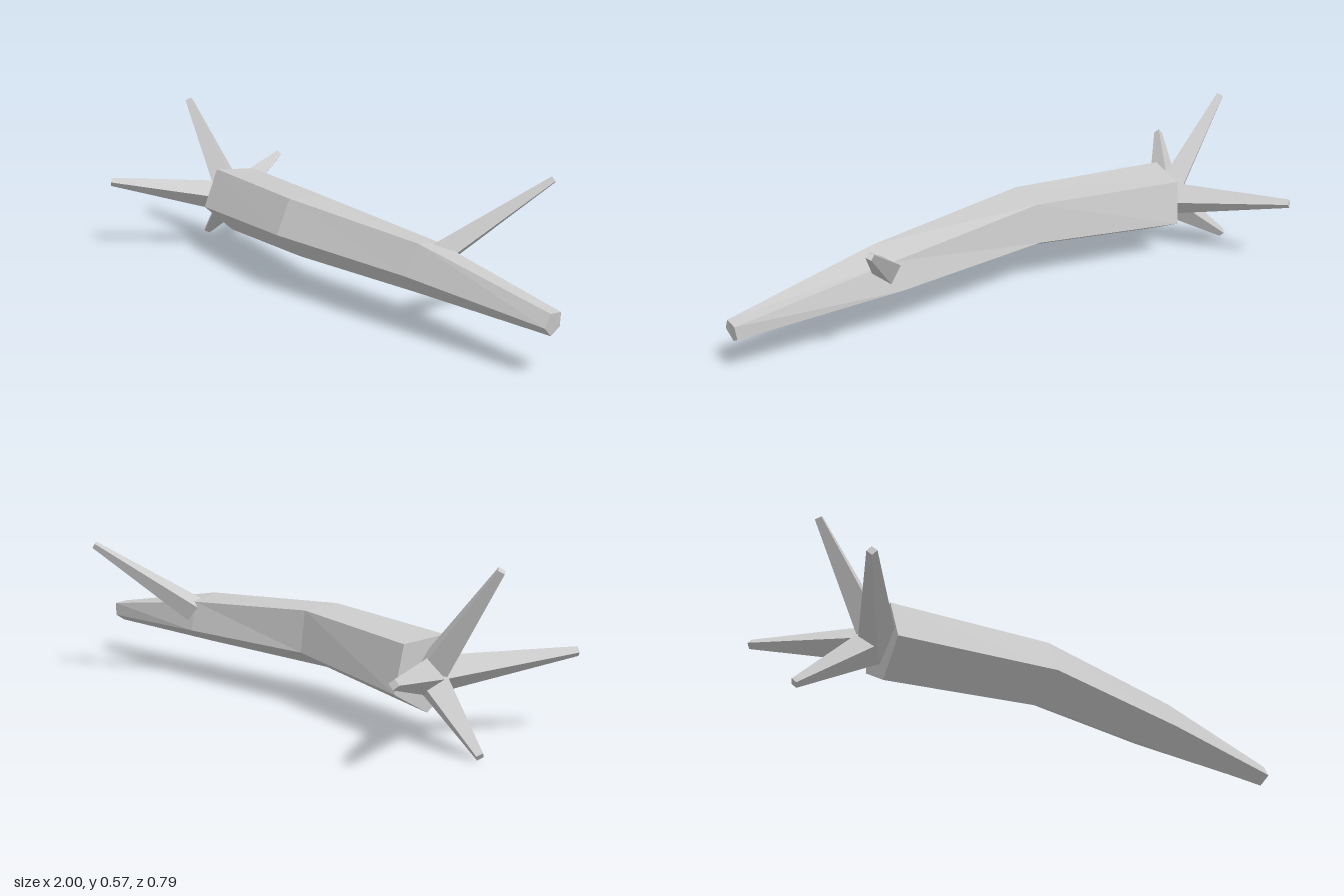
import * as THREE from 'three';

const wood = new THREE.MeshStandardMaterial({ color: 0xcccccc });
wood.name = 'grey wood';

// Faceted mesh with one normal per face
function facetedMesh(geometry, name) {
  const flat = geometry.index ? geometry.toNonIndexed() : geometry;
  flat.computeVertexNormals();
  const mesh = new THREE.Mesh(flat, wood);
  mesh.name = name;
  return mesh;
}

// Closed hull through rings of [x, y, z] corners, running along +x
function loft(rings) {
  const n = rings[0].length;
  const index = [];
  for (let i = 0; i < rings.length - 1; i++) {
    for (let j = 0; j < n; j++) {
      const a = i * n + j, b = i * n + (j + 1) % n;
      index.push(a, b, b + n, a, b + n, a + n);
    }
  }
  const last = (rings.length - 1) * n;
  for (let j = 1; j < n - 1; j++) {
    index.push(0, j + 1, j);
    index.push(last, last + j, last + j + 1);
  }
  const geometry = new THREE.BufferGeometry();
  geometry.setAttribute('position', new THREE.Float32BufferAttribute(rings.flat(2), 3));
  geometry.setIndex(index);
  return geometry;
}

// Tapered four-sided limb from base to tip, with one edge turned toward +x
function limb(name, base, tip, baseRadius, tipRadius) {
  const from = new THREE.Vector3(...base), to = new THREE.Vector3(...tip);
  const dir = to.clone().sub(from);
  const length = dir.length();
  dir.normalize();
  const side = new THREE.Vector3(1, 0, 0).addScaledVector(dir, -dir.x).normalize();
  const geometry = new THREE.CylinderGeometry(tipRadius, baseRadius, length, 4);
  geometry.applyMatrix4(new THREE.Matrix4()
    .makeBasis(side, dir, side.clone().cross(dir))
    .setPosition(from.add(to).multiplyScalar(0.5)));
  return facetedMesh(geometry, name);
}

export function createModel() {
  const model = new THREE.Group();
  model.name = 'fallenLog';

  // Bent five-sided trunk: corners run top front, front, bottom, back, top back
  model.add(facetedMesh(loft([
    [[-0.73, 0.325, 0.065], [-0.73, 0.185, 0.125], [-0.71, 0.08, 0.014], [-0.7, 0.155, -0.118], [-0.71, 0.31, -0.09]],
    [[-0.15, 0.338, 0.125], [-0.15, 0.215, 0.18], [-0.15, 0.12, 0.081], [-0.15, 0.185, -0.035], [-0.15, 0.328, -0.018]],
    [[0.46, 0.305, 0.046], [0.45, 0.202, 0.093], [0.43, 0.127, 0.02], [0.42, 0.182, -0.088], [0.43, 0.285, -0.062]],
    [[1, 0.209, -0.01], [1, 0.168, 0.012], [0.99, 0.134, -0.024], [0.99, 0.157, -0.06], [0.995, 0.204, -0.058]],
  ]), 'trunk'));

  // Four roots spreading from the broken end
  const rootTips = {
    upperRoot: [-0.985, 0.555, 0.032],
    lowerRoot: [-0.985, 0.01, -0.038],
    frontRoot: [-0.985, 0.272, 0.388],
    backRoot: [-0.985, 0.278, -0.388],
  };
  for (const [name, tip] of Object.entries(rootTips)) {
    model.add(limb(name, [-0.73, 0.205, 0], tip, 0.063, 0.016));
  }

  // Single branch stub
  model.add(limb('branch', [0.45, 0.245, -0.04], [0.655, 0.497, -0.352], 0.05, 0.014));

  return model;
}
